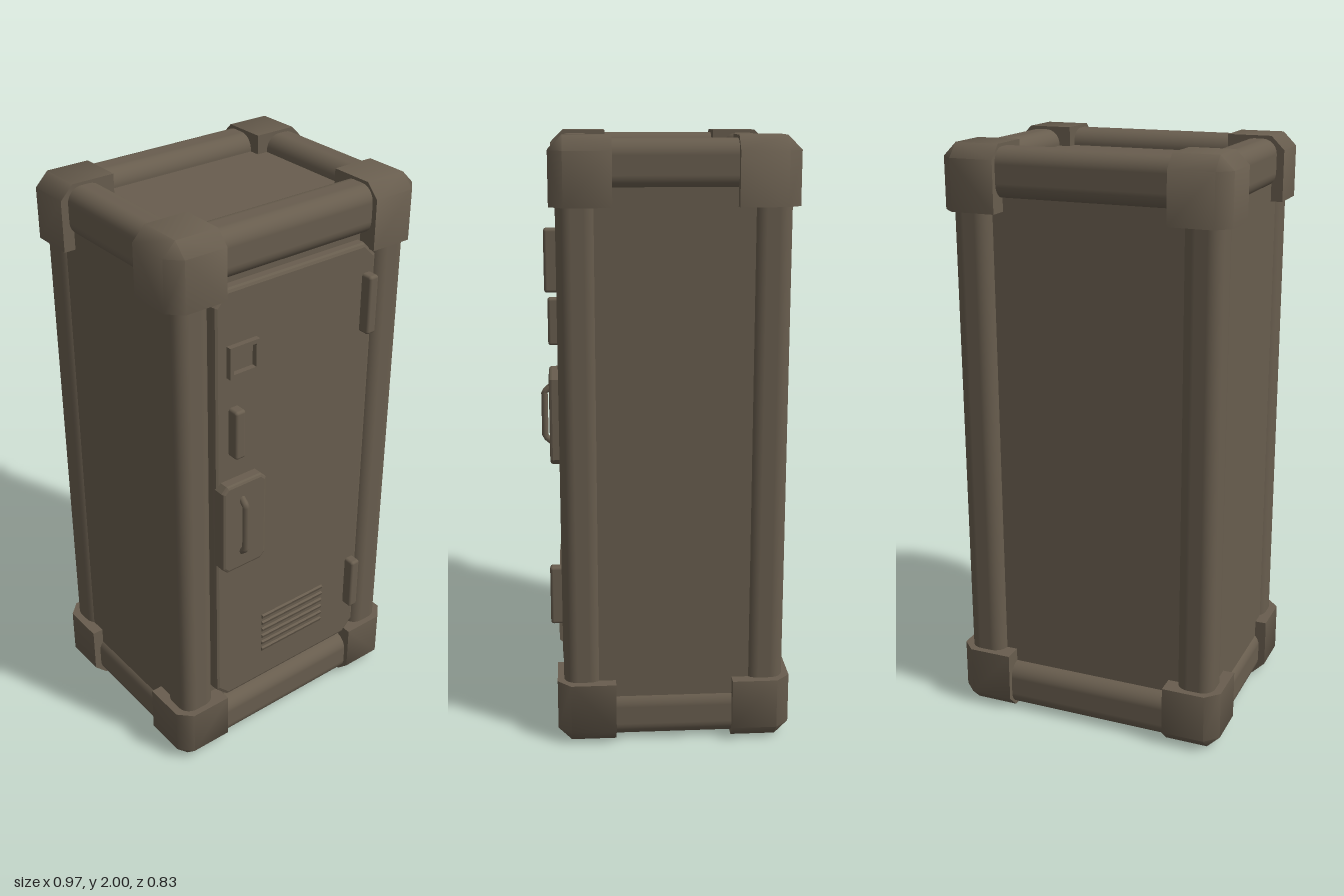
import * as THREE from 'three';
import { toCreasedNormals } from 'three/addons/utils/BufferGeometryUtils.js';
import { RoundedBoxGeometry } from 'three/addons/geometries/RoundedBoxGeometry.js';
import { ConvexGeometry } from 'three/addons/geometries/ConvexGeometry.js';

const paint = new THREE.MeshStandardMaterial({ color: 0x685d4e });
paint.name = 'drab brown metal';

const CZ = -0.025; // middle of the cabinet in depth

export function createModel() {
  const locker = new THREE.Group();
  locker.name = 'locker';

  const add = (name, geometry, x = 0, y = 0, z = 0, parent = locker) => {
    const mesh = new THREE.Mesh(geometry, paint);
    mesh.name = name;
    mesh.position.set(x, y, z);
    parent.add(mesh);
    return mesh;
  };
  // box given by its limits, with optional rounded edges
  const span = (name, [x0, x1], [y0, y1], [z0, z1], r = 0, parent = locker) => {
    const s = [x1 - x0, y1 - y0, z1 - z0];
    const g = r ? new RoundedBoxGeometry(...s, 3, r) : new THREE.BoxGeometry(...s);
    return add(name, g, (x0 + x1) / 2, (y0 + y1) / 2, (z0 + z1) / 2, parent);
  };
  // plate with clipped corners and a bevelled front edge
  const plate = (w, h, depth, cut, bevel) => {
    const a = w / 2 - bevel, b = h / 2 - bevel;
    const s = new THREE.Shape([
      [-a + cut, -b], [a - cut, -b], [a, -b + cut], [a, b - cut],
      [a - cut, b], [-a + cut, b], [-a, b - cut], [-a, -b + cut],
    ].map(p => new THREE.Vector2(...p)));
    return new THREE.ExtrudeGeometry(s, {
      depth: depth - 2 * bevel, bevelEnabled: true, bevelSize: bevel,
      bevelThickness: bevel, bevelSegments: 2,
    }).translate(0, 0, bevel);
  };

  // inner body: sides lie flush with the posts, back, top and bottom are recessed
  span('body', [-0.445, 0.445], [0.12, 1.88], [-0.35, 0.3]);
  span('topPanel', [-0.36, 0.36], [1.85, 1.935], [-0.3, 0.25]);
  span('bottomPanel', [-0.36, 0.36], [0.065, 0.15], [-0.3, 0.25]);

  // corner posts
  for (const sx of [-1, 1]) for (const sz of [-1, 1]) {
    add('post', new RoundedBoxGeometry(0.13, 1.84, 0.13, 4, 0.045),
      sx * 0.393, 1, CZ + sz * 0.303);
  }

  // beams around the top and bottom
  for (const y of [0.09, 1.91]) {
    for (const s of [-1, 1]) {
      add('crossBeam', new RoundedBoxGeometry(0.86, 0.16, 0.14, 4, 0.05), 0, y, CZ + s * 0.302);
      add('sideBeam', new RoundedBoxGeometry(0.13, 0.16, 0.7, 4, 0.05), s * 0.395, y, CZ);
    }
  }

  // protective corner caps, chamfered on their outer edges
  const cap = (sx, sy, sz) => {
    const size = [0.195, 0.215, 0.195], c = 0.045, pts = [];
    const put = p => pts.push(new THREE.Vector3(
      sx * (0.485 - size[0] + p[0]), 1 + sy * (1 - size[1] + p[1]), CZ + sz * (0.39 - size[2] + p[2])));
    for (let i = 0; i < 8; i++) {
      const outer = [0, 1, 2].filter(k => i & (1 << k));
      const corner = size.map((s, k) => (outer.includes(k) ? s : 0));
      if (outer.length < 2) put(corner);
      else for (const keep of outer) {
        put(corner.map((v, k) => (outer.includes(k) && k !== keep ? v - c : v)));
      }
    }
    return toCreasedNormals(new ConvexGeometry(pts), 0.97);
  };
  for (const sx of [-1, 1]) for (const sy of [-1, 1]) for (const sz of [-1, 1]) {
    add('cornerCap', cap(sx, sy, sz));
  }

  // small pegs in the corners of the top panel
  for (const x of [-0.31, 0.31]) for (const z of [-0.243, 0.188]) {
    add('topPeg', new THREE.BoxGeometry(0.035, 0.03, 0.035), x, 1.94, z);
  }

  // door and its fittings
  const door = new THREE.Group();
  door.name = 'door';
  locker.add(door);
  add('doorPanel', plate(0.645, 1.6, 0.05, 0.04, 0.012), -0.002, 1.01, 0.296, door);
  for (const y of [0.465, 1.605]) {
    span('hinge', [0.265, 0.303], [y - 0.103, y + 0.103], [0.33, 0.385], 0.01, door);
  }
  span('grip', [-0.272, -0.232], [1.23, 1.405], [0.33, 0.385], 0.01, door);

  // label holder
  for (const y of [1.523, 1.617]) {
    span('labelRim', [-0.28, -0.165], [y - 0.007, y + 0.007], [0.34, 0.365], 0, door);
  }
  for (const x of [-0.273, -0.172]) {
    span('labelRim', [x - 0.007, x + 0.007], [1.523, 1.617], [0.34, 0.365], 0, door);
  }

  // lock plate and pull handle
  add('lockPlate', plate(0.178, 0.342, 0.055, 0.014, 0.01), -0.235, 0.969, 0.33, door);
  const bar = new THREE.CurvePath();
  const path = [[0.86, 0.375], [0.885, 0.403], [1.055, 0.403], [1.08, 0.375]]
    .map(([y, z]) => new THREE.Vector3(-0.245, y, z));
  for (let i = 0; i < 3; i++) bar.add(new THREE.LineCurve3(path[i], path[i + 1]));
  add('handle', new THREE.TubeGeometry(bar, 24, 0.012, 8), 0, 0, 0, door);

  // ventilation louvres
  for (let i = 0; i < 6; i++) {
    const y = 0.345 + i * 0.03;
    const louvre = span('louvre', [-0.125, 0.153], [y - 0.007, y + 0.007], [0.336, 0.352], 0, door);
    louvre.rotation.x = 0.35;
  }
  return locker;
}
